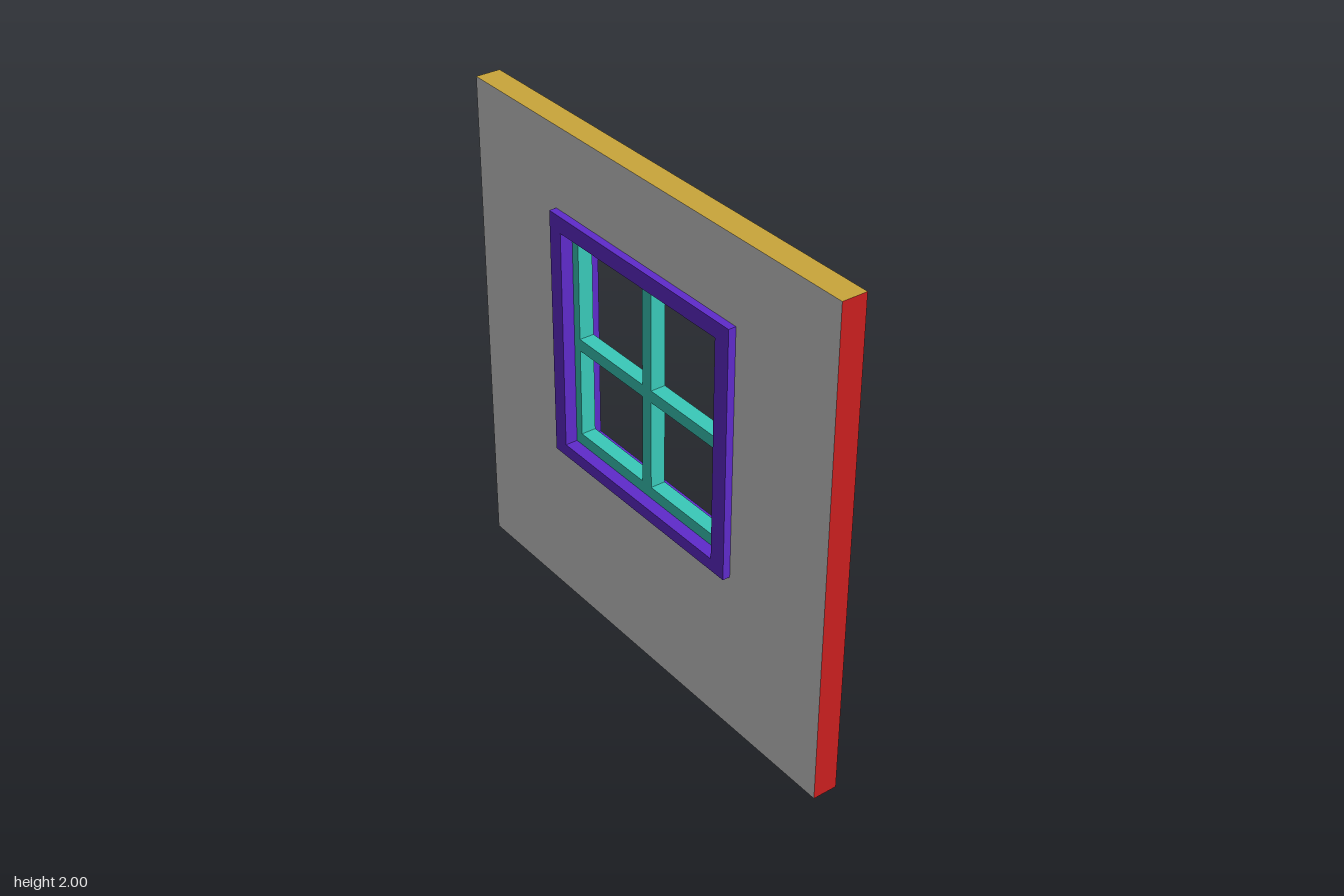
import * as THREE from 'three';

const WALL = { x0: -1, x1: 1, y0: 0, y1: 2 };
const TRIM = { x0: -0.507, x1: 0.507, y0: 0.667, y1: 1.677 };
const SASH = { x0: -0.442, x1: 0.437, y0: 0.717, y1: 1.612 };
const PANES_X = [[-0.407, -0.027], [0.025, 0.4]];
const PANES_Y = [[0.765, 1.128], [1.177, 1.567]];
const WALL_DEPTH = 0.1, TRIM_DEPTH = 0.16, SASH_DEPTH = 0.06;

function rectangle(path, { x0, x1, y0, y1 }) {
  return path.moveTo(x0, y0).lineTo(x1, y0).lineTo(x1, y1).lineTo(x0, y1).closePath();
}

function panel(outer, holes) {
  const shape = rectangle(new THREE.Shape(), outer);
  shape.holes = holes.map((h) => rectangle(new THREE.Path(), h));
  return shape;
}

// Flat frame of the given depth, centred on z = 0
function slab(shape, depth) {
  return new THREE.ExtrudeGeometry(shape, { depth, bevelEnabled: false }).translate(0, 0, -depth / 2);
}

function part(name, geometry, color) {
  const mesh = new THREE.Mesh(geometry, new THREE.MeshStandardMaterial({ color }));
  mesh.name = name;
  return mesh;
}

export function createModel() {
  const model = new THREE.Group();
  model.name = 'windowWall';

  // Wall: each side has its own colour, with one opening for the window
  const wall = new THREE.Group();
  wall.name = 'wall';
  const face = () => new THREE.ShapeGeometry(panel(WALL, [TRIM])).translate(0, 0, WALL_DEPTH / 2);
  wall.add(part('wallFront', face(), 0xcccccc));
  wall.add(part('wallBack', face().rotateY(Math.PI), 0x2632c9));
  const edge = (turn) => new THREE.PlaneGeometry(WALL_DEPTH, 2).rotateY(turn * Math.PI / 2).translate(turn, 1, 0);
  wall.add(part('wallLeftEdge', edge(1), 0xc91f1f));
  wall.add(part('wallRightEdge', edge(-1), 0x33bd33));
  const cap = (turn) => new THREE.PlaneGeometry(2, WALL_DEPTH).rotateX(-turn * Math.PI / 2).translate(0, 1 + turn, 0);
  wall.add(part('wallTop', cap(1), 0xc9a53a));
  wall.add(part('wallBottom', cap(-1), 0xc9a53a));
  model.add(wall);

  // Window: trim lining the opening, and the sash with its four panes left open
  const panes = PANES_X.flatMap(([x0, x1]) => PANES_Y.map(([y0, y1]) => ({ x0, x1, y0, y1 })));
  model.add(part('windowTrim', slab(panel(TRIM, [SASH]), TRIM_DEPTH), 0x5f2bcb));
  model.add(part('windowSash', slab(panel(SASH, panes), SASH_DEPTH), 0x39c9b9));

  return model;
}
